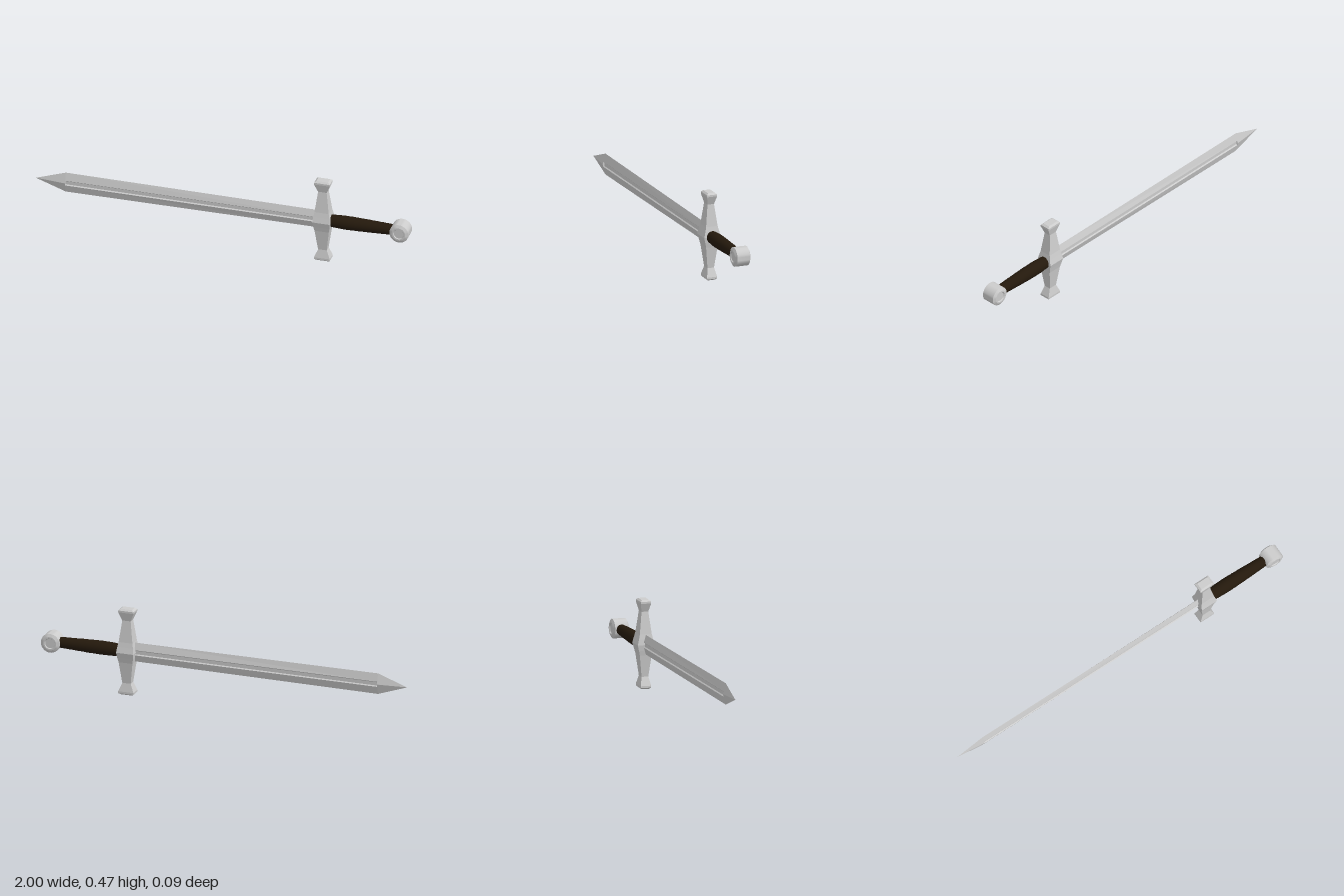
import * as THREE from 'three';
import { toCreasedNormals } from 'three/addons/utils/BufferGeometryUtils.js';

const MID = 0.235; // height of the sword's long axis

// Flat-faced skin over a list of rings with equal point counts, capped at both ends
function loft(rings) {
  const n = rings[0].length, out = [];
  const tri = (a, b, c) => out.push(...a, ...b, ...c);
  for (let i = 0; i < rings.length - 1; i++) {
    for (let j = 0; j < n; j++) {
      const k = (j + 1) % n, lo = rings[i], hi = rings[i + 1];
      tri(lo[j], lo[k], hi[k]);
      tri(lo[j], hi[k], hi[j]);
    }
  }
  const first = rings[0], last = rings[rings.length - 1];
  for (let j = 1; j < n - 1; j++) {
    tri(first[0], first[j + 1], first[j]);
    tri(last[0], last[j], last[j + 1]);
  }
  const g = new THREE.BufferGeometry();
  g.setAttribute('position', new THREE.Float32BufferAttribute(out, 3));
  g.computeVertexNormals();
  return g;
}

// Blade section: sharp edges, bevels, and a groove or ridge along the middle
function bladeRing(x, edge, shoulder, shoulderZ, inner, innerZ) {
  const half = [[edge, 0], [shoulder, shoulderZ], [inner, innerZ], [-inner, innerZ], [-shoulder, shoulderZ]];
  return [...half, ...half.map(([y, z]) => [-y, -z])].map(([y, z]) => [x, y, z]);
}

export function createModel() {
  const sword = new THREE.Group();
  sword.name = 'sword';
  const steel = new THREE.MeshStandardMaterial({ color: 0xcccccc });
  const leather = new THREE.MeshStandardMaterial({ color: 0x24190c });
  const add = (name, geometry, material, x) => {
    const mesh = new THREE.Mesh(geometry, material);
    mesh.name = name;
    mesh.position.set(x, MID, 0);
    sword.add(mesh);
    return mesh;
  };

  // Blade: ridged point, then a fuller that starts with a small step
  add('blade', loft([
    bladeRing(-1, 0, 0, 0, 0, 0),
    bladeRing(-0.84, 0.056, 0.014, 0.0115, 0.0005, 0.0152),
    bladeRing(-0.84, 0.056, 0.014, 0.0115, 0.009, 0.006),
    bladeRing(0.5, 0.051, 0.014, 0.0125, 0.009, 0.007),
  ]), steel, 0);

  // Crossguard: square sections that swell at the middle and flare at both ends
  const half = [ // height from the axis, half width, half depth
    [0.03, 0.043, 0.038], [0.055, 0.038, 0.032], [0.17, 0.023, 0.018],
    [0.215, 0.042, 0.028], [0.225, 0.042, 0.028], [0.233, 0.031, 0.019],
  ];
  const profile = [
    ...half.map(([y, w, d]) => [-y, w, d]).reverse(),
    [0, 0.047, 0.046],
    ...half,
  ];
  add('crossguard', loft(profile.map(([y, w, d]) =>
    [[w, y, d], [w, y, -d], [-w, y, -d], [-w, y, d]])), steel, 0.535);

  // Grip: wrapped handle, fullest near the guard, with fine ridges
  const swell = new THREE.SplineCurve([[0.031, 0], [0.036, 0.09], [0.034, 0.2], [0.027, 0.37]]
    .map(([r, h]) => new THREE.Vector2(r, h)));
  const gripPoints = swell.getPoints(48).map((p, i) =>
    new THREE.Vector2(p.x - (i % 2) * 0.0008, p.y));
  const grip = add('grip', new THREE.LatheGeometry(gripPoints, 20), leather, 0.56);
  grip.rotation.z = -Math.PI / 2;

  // Pommel: chamfered wheel with a sunken disc on each face
  const face = [[0, 0.038], [0.025, 0.038], [0.028, 0.043], [0.036, 0.043], [0.051, 0.035]];
  const wheel = [
    ...face.map(([r, h]) => new THREE.Vector2(r, -h)),
    ...face.map(([r, h]) => new THREE.Vector2(r, h)).reverse(),
  ];
  const pommel = add('pommel',
    toCreasedNormals(new THREE.LatheGeometry(wheel, 32), Math.PI / 8), steel, 0.948);
  pommel.rotation.x = Math.PI / 2;

  return sword;
}
